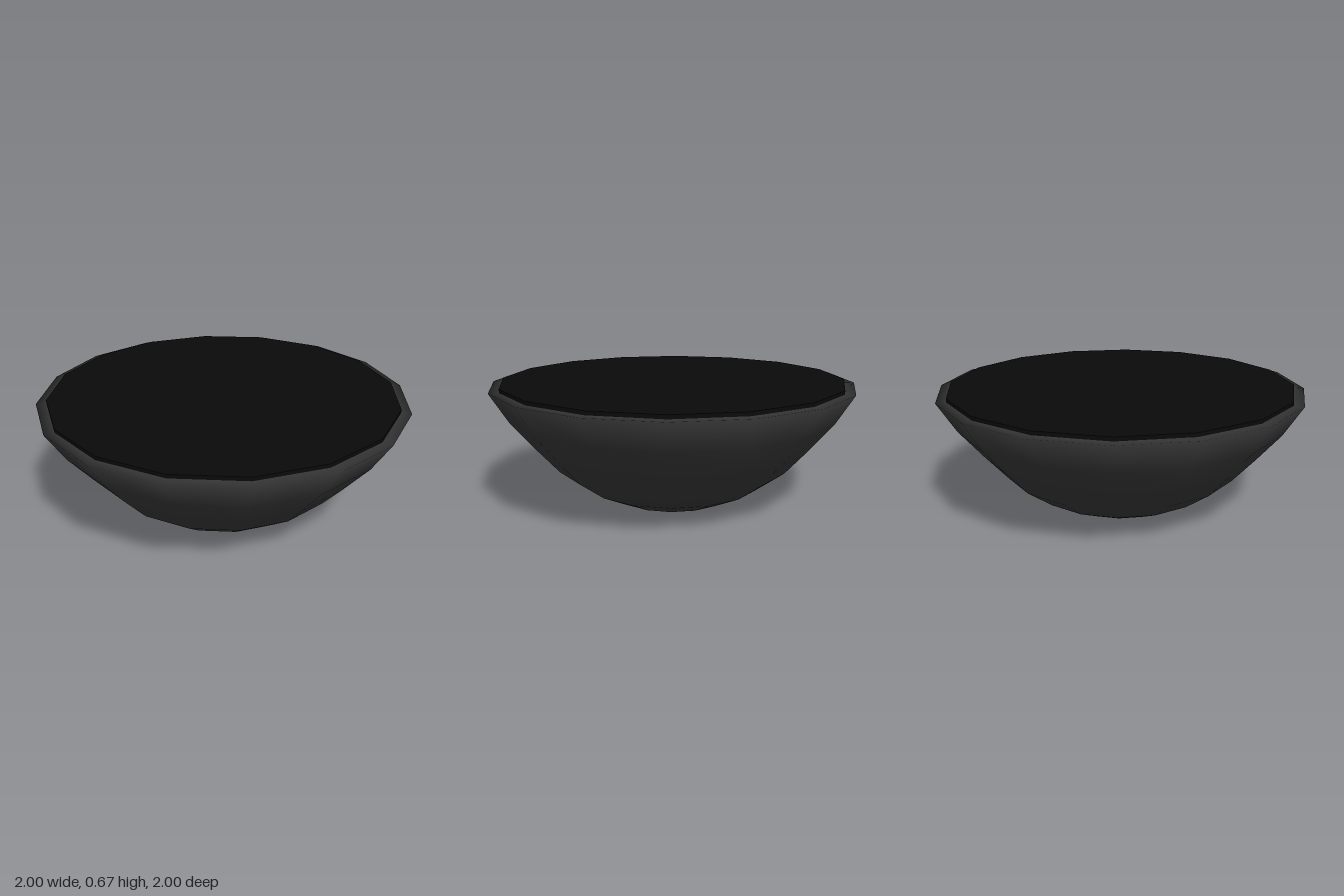
import * as THREE from 'three';

const SIDES = 16;

export function createModel() {
  const group = new THREE.Group();

  // Bowl: smooth-shaded lathe from the base centre up and over the rim
  const profile = [
    [0, 0], [0.15, 0], [0.33, 0.008], [0.5, 0.09], [0.65, 0.2],
    [0.77, 0.335], [0.9, 0.49], [1, 0.652], [0.92, 0.652],
  ].map(([r, y]) => new THREE.Vector2(r, y));
  const bowl = new THREE.Mesh(
    new THREE.LatheGeometry(profile, SIDES),
    new THREE.MeshStandardMaterial({ color: 0x3a3a3a, side: THREE.DoubleSide })
  );
  bowl.name = 'bowl';
  group.add(bowl);

  // Thin black disc filling the bowl, standing just proud of the rim
  const filling = new THREE.Mesh(
    new THREE.CylinderGeometry(0.945, 0.945, 0.03, SIDES),
    new THREE.MeshStandardMaterial({ color: 0x0a0a0a })
  );
  filling.position.y = 0.657;
  filling.name = 'filling';
  group.add(filling);

  return group;
}
